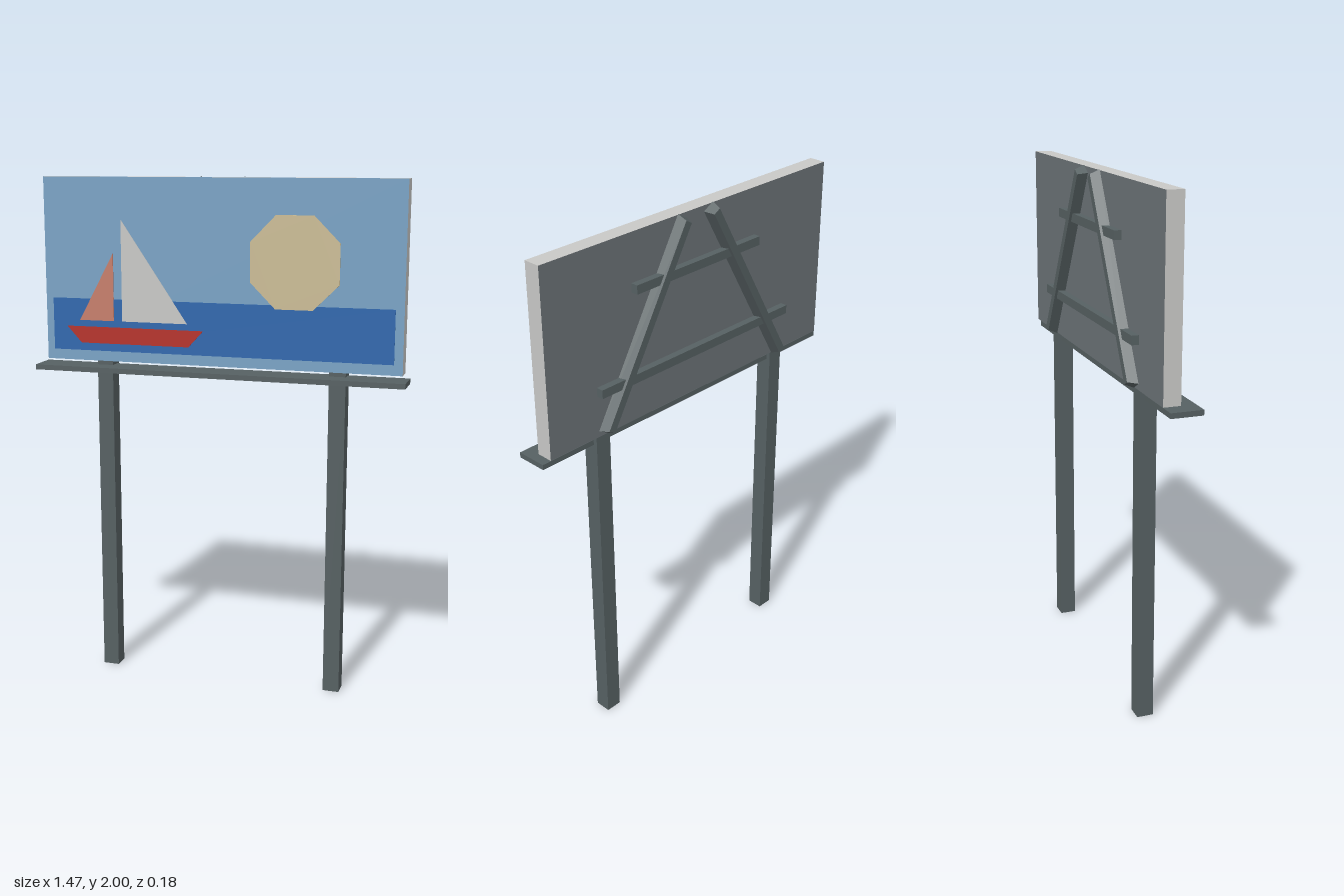
import * as THREE from 'three';

const material = (name, color) => {
  const m = new THREE.MeshStandardMaterial({ color });
  m.name = name;
  return m;
};

export function createModel() {
  const model = new THREE.Group();
  model.name = 'billboard';

  const steel = material('dark steel', 0x566062);
  const backing = material('backing grey', 0x6c7377);
  const trim = material('pale grey', 0xc8c8c6);
  const sky = material('sky blue', 0x78a2c4);
  const water = material('sea blue', 0x2c66ad);
  const red = material('hull red', 0xb53028);
  const coral = material('coral', 0xc67d6a);
  const sand = material('sun sand', 0xcabb94);

  const add = (name, geometry, mat) => {
    const mesh = new THREE.Mesh(geometry, mat);
    mesh.name = name;
    model.add(mesh);
    return mesh;
  };
  // Box given by its extents on each axis
  const box = (name, mat, [x0, x1], [y0, y1], [z0, z1]) => {
    const mesh = add(name, new THREE.BoxGeometry(x1 - x0, y1 - y0, z1 - z0), mat);
    mesh.position.set((x0 + x1) / 2, (y0 + y1) / 2, (z0 + z1) / 2);
    return mesh;
  };

  // Display panel: pale rim, painted front, grey back
  const front = 0.012, back = -0.053;
  box('panel', [trim, trim, trim, trim, sky, backing], [-0.713, 0.713], [1.285, 2], [back, front]);

  // Posts and walkway
  for (const side of [-1, 1]) {
    const x = side * 0.468;
    box(side > 0 ? 'leftPost' : 'rightPost', steel, [x - 0.032, x + 0.032], [0, 1.285], [-0.051, front]);
  }
  box('walkway', steel, [-0.735, 0.735], [1.25, 1.27], [-0.035, 0.087]);

  // Horizontal rails on the back
  for (const [name, half, y] of [['lowerRail', 0.49, 1.465], ['upperRail', 0.315, 1.8]]) {
    box(name, steel, [-half, half], [y - 0.017, y + 0.017], [-0.081, back]);
  }

  // Slanted braces, tapering toward their outer face
  for (const side of [-1, 1]) {
    const a = new THREE.Vector2(side * 0.465, 1.295);
    const b = new THREE.Vector2(side * 0.065, 1.99);
    const length = a.distanceTo(b);
    const geometry = new THREE.BoxGeometry(0.052, length, 0.037).toNonIndexed();
    const p = geometry.attributes.position;
    for (let i = 0; i < p.count; i++) {
      if (p.getZ(i) < 0) p.setXY(i, p.getX(i) * 0.6, p.getY(i) * (1 - 0.024 / length));
    }
    geometry.computeVertexNormals();
    const brace = add(side > 0 ? 'leftBrace' : 'rightBrace', geometry, steel);
    brace.position.set((a.x + b.x) / 2, (a.y + b.y) / 2, back - 0.0185);
    brace.rotation.z = Math.atan2(a.x - b.x, b.y - a.y);
  }

  // Painted scene, as thin plates on the front
  const plate = (name, mat, points, depth) => {
    const shape = new THREE.Shape(points.map(([x, y]) => new THREE.Vector2(x, y)));
    const mesh = add(name, new THREE.ExtrudeGeometry(shape, { depth, bevelEnabled: false }), mat);
    mesh.position.z = front;
  };
  plate('sea', water, [[-0.683, 1.325], [0.68, 1.325], [0.68, 1.53], [-0.683, 1.53]], 0.002);
  plate('sun', sand, [[0.225, 1.515], [0.37, 1.515], [0.47, 1.613], [0.47, 1.765],
    [0.37, 1.865], [0.225, 1.865], [0.127, 1.765], [0.127, 1.613]], 0.004);
  plate('hull', red, [[-0.565, 1.355], [-0.12, 1.355], [-0.06, 1.42], [-0.625, 1.42]], 0.004);
  plate('mainSail', trim, [[-0.392, 1.445], [-0.125, 1.445], [-0.392, 1.838]], 0.004);
  plate('foreSail', coral, [[-0.57, 1.445], [-0.427, 1.445], [-0.427, 1.708]], 0.004);

  return model;
}
